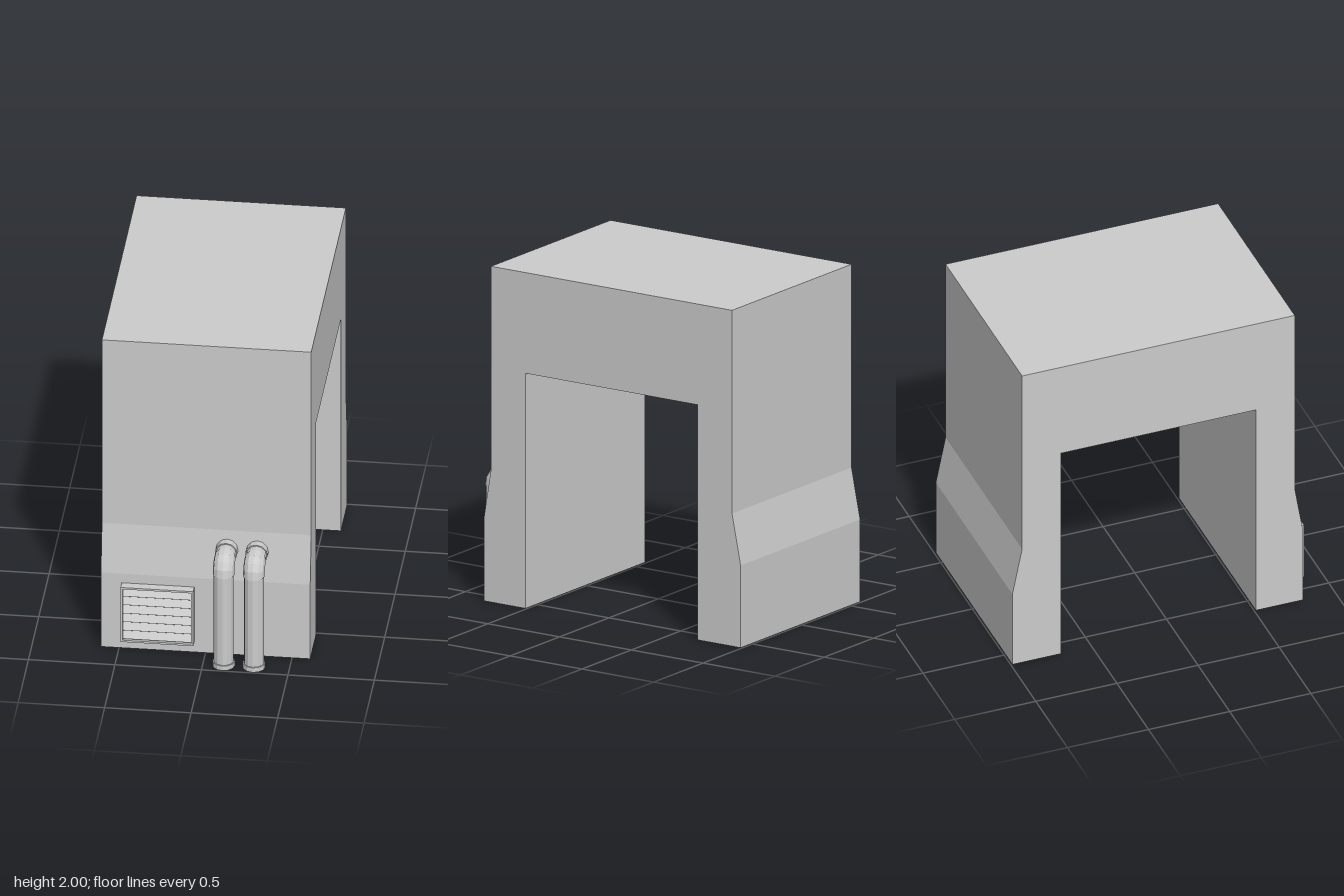
import * as THREE from 'three';

const grey = new THREE.MeshStandardMaterial({ color: 0xcccccc, flatShading: true });

function part(name, geometry, parent, x = 0, y = 0, z = 0) {
  const mesh = new THREE.Mesh(geometry, grey);
  mesh.name = name;
  mesh.position.set(x, y, z);
  parent.add(mesh);
  return mesh;
}

// Extrudes a side profile of [z, y] points across the width
function createBody(parent) {
  const width = 1.21;
  const profile = [
    [0.80, 0], [0.80, 0.49], [0.75, 0.79], [0.75, 2], [-0.93, 2], [-0.93, 0.79],
    [-0.99, 0.49], [-0.99, 0], [-0.69, 0], [-0.69, 1.4], [0.51, 1.4], [0.51, 0],
  ];
  const shape = new THREE.Shape(profile.map(([z, y]) => new THREE.Vector2(z, y)));
  const geometry = new THREE.ExtrudeGeometry(shape, { depth: width, bevelEnabled: false });
  geometry.translate(0, 0, -width / 2).rotateY(-Math.PI / 2);
  part('archBody', geometry, parent);
}

// Framed grille with sloping slats
function createVent(parent) {
  const vent = new THREE.Group();
  vent.name = 'vent';
  vent.position.set(-0.275, 0.25, 0.80);
  parent.add(vent);
  const w = 0.42, h = 0.36, rim = 0.012, depth = 0.055;

  const frame = new THREE.Shape([
    new THREE.Vector2(-w / 2, -h / 2), new THREE.Vector2(w / 2, -h / 2),
    new THREE.Vector2(w / 2, h / 2), new THREE.Vector2(-w / 2, h / 2),
  ]);
  const a = w / 2 - rim, b = h / 2 - rim;
  frame.holes.push(new THREE.Path([
    new THREE.Vector2(-a, -b), new THREE.Vector2(-a, b),
    new THREE.Vector2(a, b), new THREE.Vector2(a, -b),
  ]));
  part('ventFrame', new THREE.ExtrudeGeometry(frame, { depth, bevelEnabled: false }), vent);

  const count = 6, pitch = (2 * b) / count;
  for (let i = 0; i < count; i++) {
    const slat = part('ventSlat', new THREE.BoxGeometry(2 * a, 0.056, 0.007), vent,
      0, -b + pitch * (i + 0.5), 0.03);
    slat.rotation.x = -0.6;
  }
}

// Upright pipe bending back into the wall
function createPipe(parent, x) {
  const pipe = new THREE.Group();
  pipe.name = 'pipe';
  pipe.position.x = x;
  parent.add(pipe);
  const sides = 12, z = 0.93, bend = 0.07, elbowY = 0.602;
  const tube = (r, length) => new THREE.CylinderGeometry(r, r, length, sides);

  part('footCollar', tube(0.065, 0.03), pipe, 0, 0.015, z);
  part('uprightPipe', tube(0.058, 0.6), pipe, 0, 0.302, z);
  const elbow = new THREE.TorusGeometry(bend, 0.062, sides, 4, Math.PI / 2);
  part('elbow', elbow.rotateY(-Math.PI / 2), pipe, 0, elbowY, z - bend);
  const wallY = elbowY + bend;
  part('wallPipe', tube(0.059, 0.1).rotateX(Math.PI / 2), pipe, 0, wallY, 0.81);
  part('wallCollar', tube(0.065, 0.05).rotateX(Math.PI / 2), pipe, 0, wallY, 0.785);
}

export function createModel() {
  const model = new THREE.Group();
  model.name = 'utilityArch';
  createBody(model);
  createVent(model);
  for (const x of [0.12, 0.295]) createPipe(model, x);
  return model;
}
